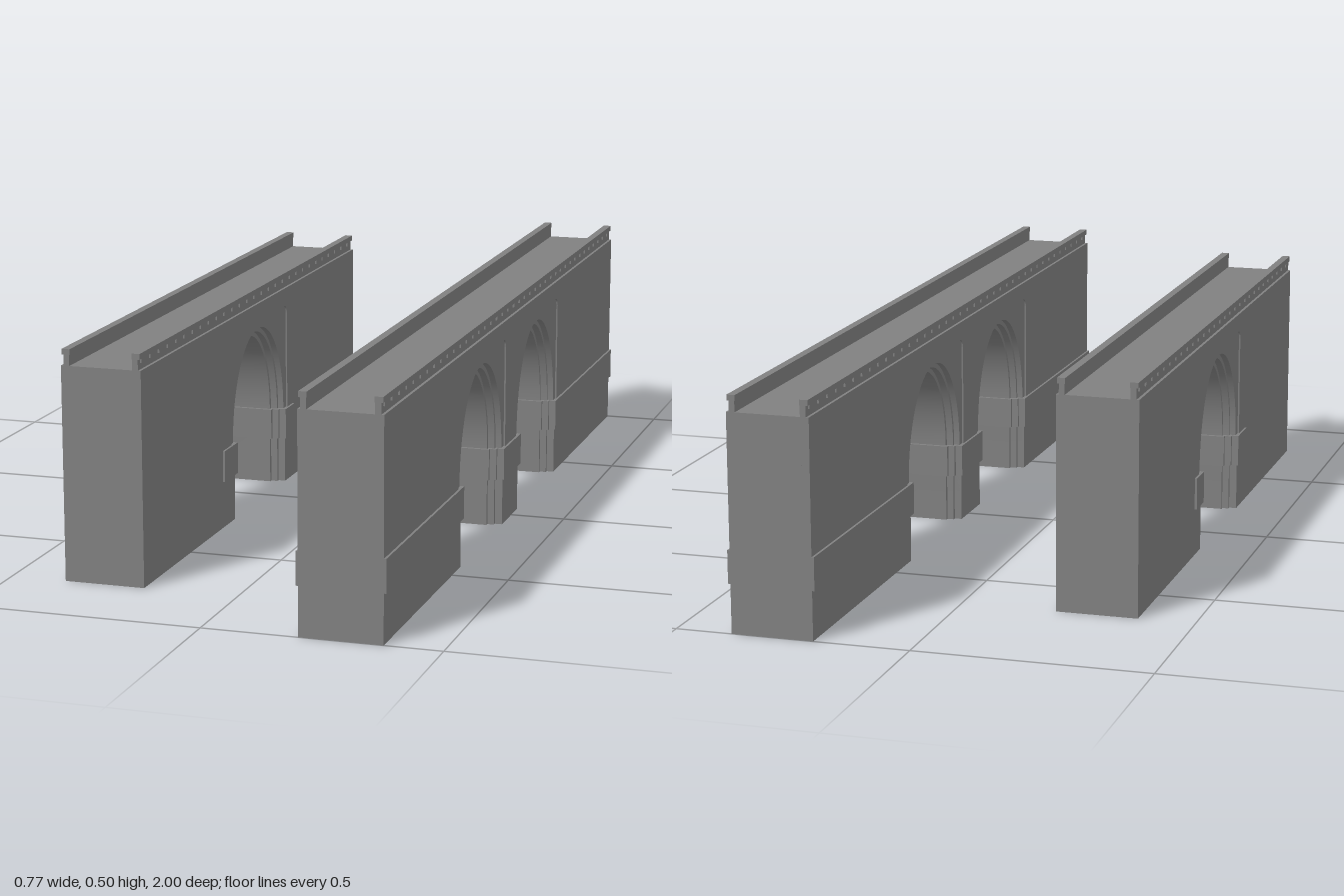
import * as THREE from 'three';
import { toCreasedNormals } from 'three/addons/utils/BufferGeometryUtils.js';

const stone = new THREE.MeshStandardMaterial({ color: 0x808080 });
stone.name = 'grey stone';

const DECK = 0.46, SPRING = 0.175, IMPOST = 0.105;

function add(group, name, geometry) {
  const mesh = new THREE.Mesh(geometry, stone);
  mesh.name = name;
  group.add(mesh);
}

function box(group, name, x0, x1, y0, y1, z0, z1) {
  const g = new THREE.BoxGeometry(x1 - x0, y1 - y0, z1 - z0);
  g.translate((x0 + x1) / 2, (y0 + y1) / 2, (z0 + z1) / 2);
  add(group, name, g);
}

// Opening outline with an elliptical head on straight legs
function archOutline(c, half, rise) {
  const pts = [[c - half, 0]];
  for (let i = 0; i <= 28; i++) {
    const a = Math.PI * (1 - i / 28);
    pts.push([c + half * Math.cos(a), SPRING + rise * Math.sin(a)]);
  }
  pts.push([c + half, 0]);
  return pts;
}

// Opening outline with a round-cornered rectangular frame above the imposts
function frameOutline(c, half) {
  const w = 0.195, top = 0.42, r = 0.02;
  const pts = [[c - half, 0], [c - half, SPRING], [c - w, SPRING]];
  for (const s of [-1, 1]) {
    for (let i = 0; i <= 4; i++) {
      const a = (Math.PI / 2) * (s < 0 ? i / 4 : 1 - i / 4);
      pts.push([c + s * (w - r + r * Math.cos(a)), top - r + r * Math.sin(a)]);
    }
  }
  pts.push([c + w, SPRING], [c + half, SPRING], [c + half, 0]);
  return pts;
}

// Wall slab of the given half thickness, cut by the openings
function wallLayer(group, name, z0, z1, halfDepth, outlines) {
  const shape = new THREE.Shape();
  shape.moveTo(z0, 0);
  outlines.flat().forEach(([z, y]) => shape.lineTo(z, y));
  shape.lineTo(z1, 0);
  shape.lineTo(z1, DECK);
  shape.lineTo(z0, DECK);
  shape.closePath();
  const g = new THREE.ExtrudeGeometry(shape, { depth: halfDepth * 2, bevelEnabled: false });
  g.translate(0, 0, -halfDepth);
  g.rotateY(-Math.PI / 2);
  add(group, name, toCreasedNormals(g, 0.5));
}

function bridge(name, z0, z1, centres, imposts) {
  const group = new THREE.Group();
  group.name = name;

  // Stepped arch rings, from the narrow core out to the framed face
  wallLayer(group, 'archCore', z0, z1, 0.056, centres.map(c => archOutline(c, 0.16, 0.205)));
  wallLayer(group, 'archRing', z0, z1, 0.071, centres.map(c => archOutline(c, 0.168, 0.216)));
  wallLayer(group, 'archPanel', z0, z1, 0.084, centres.map(c => archOutline(c, 0.176, 0.227)));
  wallLayer(group, 'wall', z0, z1, 0.0875, centres.map(c => frameOutline(c, 0.176)));

  // Impost bands, each stepping into the openings beside it
  for (const [a, b, openA, openB] of imposts) {
    [[0.062, 0.01], [0.077, 0.002], [0.0925, -0.006]].forEach(([h, reach]) => {
      box(group, 'impost', -h, h, IMPOST, SPRING,
        openA ? a - reach : a, openB ? b + reach : b);
    });
  }

  // Parapets with a coping and a row of small corbels
  for (const s of [-1, 1]) {
    const strip = (n, xa, xb, ya, yb, za, zb) =>
      box(group, n, Math.min(s * xa, s * xb), Math.max(s * xa, s * xb), ya, yb, za, zb);
    strip('parapet', 0.069, 0.0815, DECK, 0.485, z0, z1);
    strip('coping', 0.068, 0.0855, 0.483, 0.495, z0, z1);
    const n = Math.round((z1 - z0) / 0.05);
    for (let i = 0; i < n; i++) {
      const z = z0 + ((i + 0.5) * (z1 - z0)) / n;
      strip('corbel', 0.081, 0.085, 0.474, 0.484, z - 0.012, z + 0.012);
    }
  }
  return group;
}

export function createModel() {
  const model = new THREE.Group();
  model.name = 'archedBridges';

  // Long bridge with two arches and bands running to its ends
  const long = bridge('longBridge', -1, 1, [-0.228, 0.26], [
    [-1, -0.39, false, true],
    [-0.066, 0.098, true, true],
    [0.422, 1, true, false],
  ]);
  long.position.x = 0.2915;

  // Short bridge with one arch and short imposts
  const short = bridge('shortBridge', -0.67, 0.78, [0.042], [
    [-0.19, -0.12, false, true],
    [0.204, 0.295, true, false],
  ]);
  short.position.x = -0.2915;

  model.add(long, short);
  return model;
}
